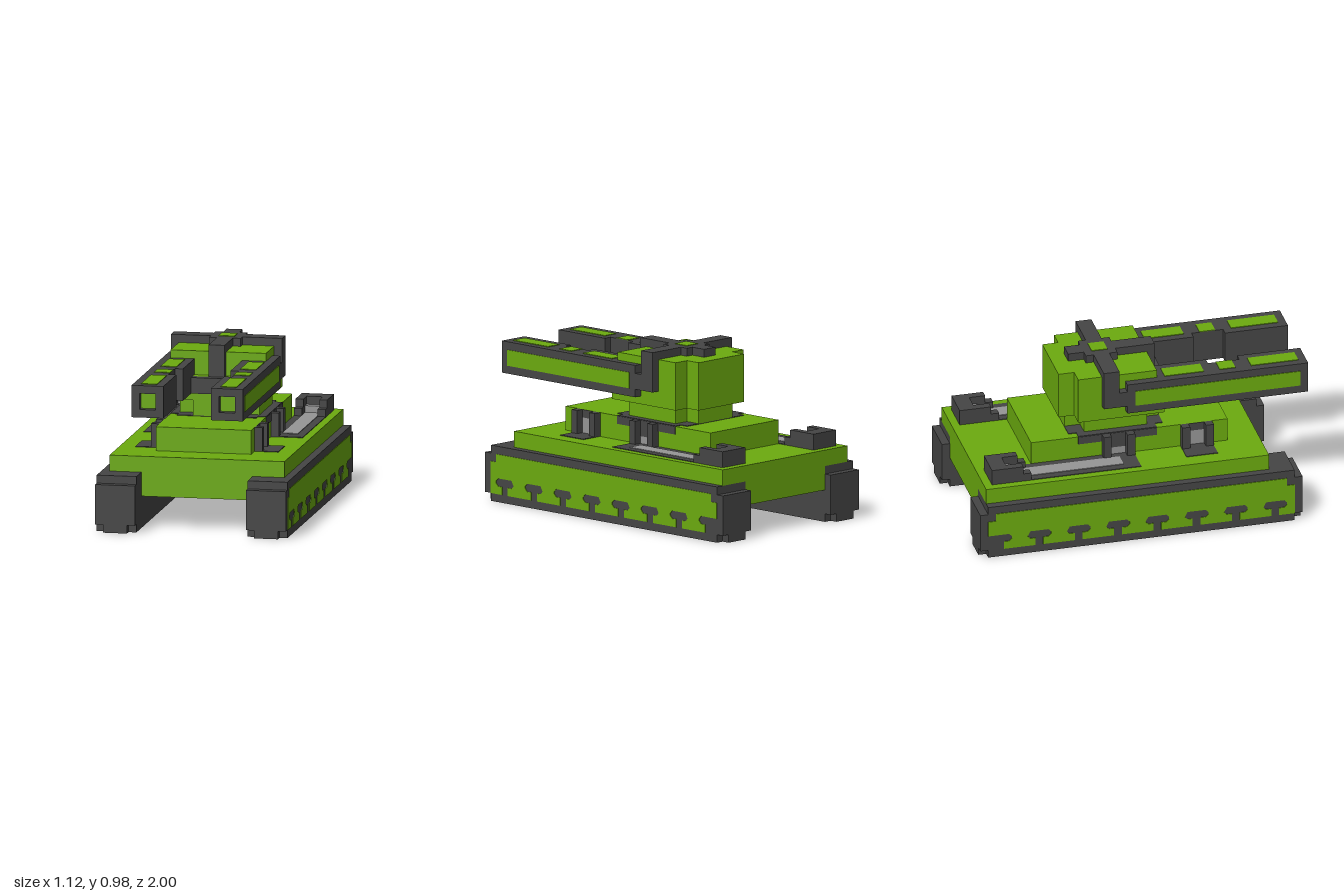
import * as THREE from 'three';

const U = 2 / 43; // one block; all sizes below are in blocks
const T = 0.08;   // thickness of painted plates

export function createModel() {
  const mat = (name, color) => {
    const m = new THREE.MeshStandardMaterial({ color });
    m.name = name;
    return m;
  };
  const green = mat('green', 0x6cab0f);
  const dark = mat('charcoal', 0x454545);
  const grey = mat('grey', 0x969696);

  const model = new THREE.Group();
  model.name = 'tank';
  model.scale.setScalar(U);

  // Box given by its limits on each axis
  const box = (name, m, x0, x1, y0, y1, z0, z1) => {
    const mesh = new THREE.Mesh(new THREE.BoxGeometry(x1 - x0, y1 - y0, z1 - z0), m);
    mesh.position.set((x0 + x1) / 2, (y0 + y1) / 2, (z0 + z1) / 2);
    mesh.name = name;
    model.add(mesh);
  };
  // The same box on the left and mirrored on the right
  const pair = (name, m, x0, x1, ...rest) => {
    box(name + 'Left', m, x0, x1, ...rest);
    box(name + 'Right', m, -x1, -x0, ...rest);
  };

  // Tracks with stepped ends
  pair('track', dark, 7, 12, 0, 7, -20.5, 18.5);
  for (const [z0, z1] of [[18.5, 19.5], [-21.5, -20.5]]) {
    pair('trackEnd', dark, 7, 12, 1, 6, z0, z1);
    pair('trackEndFoot', dark, 8, 11, 0, 1, z0, z1);
  }

  // Green side panel, cut along the bottom by T-shaped track links
  const panel = new THREE.Shape();
  const c = 0.35;
  panel.moveTo(17.5, 6);
  panel.lineTo(-19.5, 6);
  panel.lineTo(-19.5, 5);
  panel.lineTo(-20.5, 5);
  panel.lineTo(-20.5, 3);
  for (let k = 7; k >= 0; k--) {
    const m = 16 - 5 * k;
    if (k < 7) {
      panel.lineTo(m - 1.5, 2 + c);
      panel.lineTo(m - 1.5 + c, 3);
    }
    panel.lineTo(m + 1.5 - c, 3);
    panel.lineTo(m + 1.5, 3 - c);
    panel.lineTo(m + 1.5, 2 + c);
    panel.lineTo(m + 1.5 - c, 2);
    panel.lineTo(m + 0.5, 2);
    panel.lineTo(m + 0.5, 1);
    if (k > 0) {
      panel.lineTo(m + 4.5, 1);
      panel.lineTo(m + 4.5, 2);
      panel.lineTo(m + 3.5 + c, 2);
    }
  }
  panel.lineTo(18.5, 1);
  panel.lineTo(18.5, 5);
  panel.lineTo(17.5, 5);
  const panelGeo = new THREE.ExtrudeGeometry(panel, { depth: T, bevelEnabled: false });
  for (const [side, x] of [['Left', 12 + T], ['Right', -12]]) {
    const mesh = new THREE.Mesh(panelGeo, green);
    mesh.name = 'trackPanel' + side;
    mesh.rotation.y = -Math.PI / 2;
    mesh.position.x = x;
    model.add(mesh);
  }

  // Hull and superstructure
  box('lowerHull', green, -7, 7, 4, 7, -20.5, 15.5);
  box('deck', green, -11, 11, 7, 9, -20.5, 15.5);
  box('superstructure', green, -6, 6, 9, 12, -13.5, 11.5);

  // Front brackets
  pair('frontBracketFloor', dark, 6, 9, 9, 9 + T, 5.5, 9.5);
  pair('frontBracketPost', dark, 6, 7, 9, 12, 5.5, 6.5);
  pair('frontBracketPost', dark, 6, 7, 9, 12, 8.5, 9.5);
  pair('frontBracketPlate', grey, 6, 6 + T, 9, 11, 6.5, 8.5);
  pair('frontBracketTop', dark, 6, 6 + T, 11, 12, 6.5, 8.5);

  // Exhaust channels along the deck
  pair('channelFloor', dark, 6, 10, 9, 9 + T, -19.5, -0.5);
  pair('channelPipe', grey, 7, 9, 9, 9 + 2 * T, -17.5, -2.5);
  pair('middlePost', dark, 6, 7, 9, 12, -1.5, -0.5);
  pair('middlePost', dark, 6, 7, 9, 12, -4.5, -3.5);
  pair('middlePlate', grey, 6, 6 + T, 9, 10, -3.5, -1.5);
  pair('middleTop', dark, 6, 6 + T, 10, 12, -3.5, -1.5);

  // Rear exhaust boxes, open to the front
  for (const x of [6, 9]) {
    pair('exhaustWall', dark, x, x + 1, 9, 11, -19.5, -15.5);
    pair('exhaustLip', dark, x, x + 1, 9, 10, -15.5, -14.5);
  }
  pair('exhaustBack', dark, 7, 9, 9, 11, -19.5, -17.5);
  pair('exhaustStep', grey, 7, 9, 9, 10, -17.5, -16.5);

  // Painted turret ring
  box('turretRing', dark, -6, 6, 12, 12 + T, -7.5, 2.5);
  box('turretRingEnds', dark, -5, 5, 12, 12 + T, -8.5, 3.5);
  pair('turretRingEdge', dark, 6, 6 + T, 11, 12, -7.5, 2.5);

  // Turret neck and head
  box('neck', green, -3, 3, 12, 14, -8.5, 3.5);
  box('neckSides', green, -5, 5, 12, 14, -6.5, 1.5);
  box('headLower', green, -6, 6, 14, 17, -7.5, 3.5);
  box('headUpper', green, -6, 6, 17, 20, -7.5, 2.5);
  box('headBack', green, -4, 4, 14, 20, -9.5, -7.5);

  // Straps over the head, the mantlet and the gun arms
  box('longStrap', dark, -1, 1, 20, 21, -7.5, 3.5);
  box('crossStrap', dark, -7, 7, 20, 21, -4.5, -2.5);
  box('strapHub', dark, -2, 2, 20, 21, -5.5, -1.5);
  box('hubMark', green, -1, 1, 21, 21 + T, -4.5, -2.5);
  box('frontStrap', dark, -1, 1, 17, 20, 2.5, 3.5);
  box('mantlet', dark, -3, 3, 15, 17, 3.5, 4.5);
  pair('gunArm', dark, 6, 7, 16, 20, -4.5, -2.5);
  pair('gunArmLink', dark, 6, 7, 16, 18, -2.5, -1.5);

  // Twin guns with a notch on the inner side and a hollow muzzle
  pair('gunRearPlate', dark, 6, 7, 15, 19, -1.5, 2.5);
  pair('gunBreech', dark, 3, 7, 15, 19, 2.5, 9.5);
  pair('gunMiddle', dark, 4, 7, 15, 19, 9.5, 13.5);
  pair('gunBarrel', dark, 3, 7, 15, 19, 13.5, 20.5);
  for (const y of [15, 18]) pair('muzzleRim', dark, 3, 7, y, y + 1, 20.5, 21.5);
  for (const x of [3, 6]) pair('muzzleCheek', dark, x, x + 1, 16, 18, 20.5, 21.5);
  pair('muzzleBore', green, 4, 6, 16, 18, 20.5, 20.5 + T);
  pair('gunSidePanel', green, 7, 7 + T, 16, 18, -0.5, 20.5);
  for (const [z0, z1] of [[3.5, 8.5], [10.5, 12.5], [14.5, 20.5]])
    pair('gunTopPanel', green, 4, 6, 19, 19 + T, z0, z1);

  const root = new THREE.Group();
  root.name = 'model';
  root.add(model);
  return root;
}
